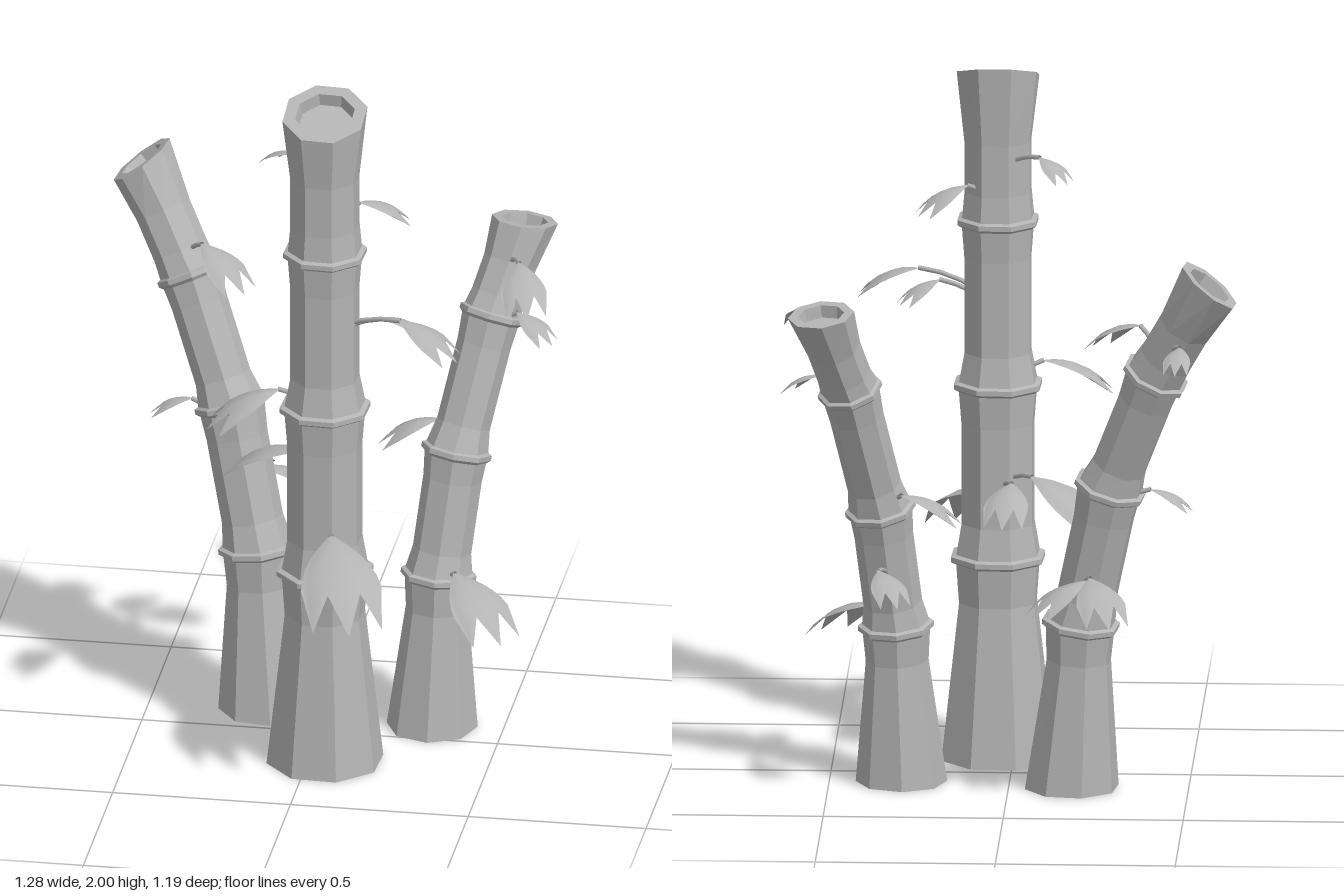
import * as THREE from 'three';

const UP = new THREE.Vector3(0, 1, 0);
const SIDES = 8;

const grey = new THREE.MeshStandardMaterial({ color: 0xb4b4b4, side: THREE.DoubleSide });
grey.name = 'plain grey';

// Faceted skin over a list of loops [centre, normal, radius]
function skin(loops, phase) {
  const rings = loops.map(([c, n, r]) => {
    const q = new THREE.Quaternion().setFromUnitVectors(UP, n);
    return Array.from({ length: SIDES }, (_, i) => {
      const t = phase + (i / SIDES) * Math.PI * 2;
      return new THREE.Vector3(r * Math.cos(t), 0, -r * Math.sin(t)).applyQuaternion(q).add(c);
    });
  });
  const pos = [];
  const tri = (...corners) => corners.forEach((c) => pos.push(c.x, c.y, c.z));
  for (let k = 0; k < rings.length - 1; k++) {
    for (let i = 0; i < SIDES; i++) {
      const j = (i + 1) % SIDES;
      if (loops[k][2] > 0) tri(rings[k][i], rings[k][j], rings[k + 1][j]);
      if (loops[k + 1][2] > 0) tri(rings[k][i], rings[k + 1][j], rings[k + 1][i]);
    }
  }
  const g = new THREE.BufferGeometry();
  g.setAttribute('position', new THREE.Float32BufferAttribute(pos, 3));
  g.computeVertexNormals();
  return g;
}

// Centre line of a cane at height y: it bends outwards more and more
function axisAt(cane, y) {
  const f = Math.pow(Math.max(0, y) / cane.height, 2.35);
  return new THREE.Vector3(cane.foot[0] + cane.lean[0] * f, y, cane.foot[1] + cane.lean[1] * f);
}

// Jointed cane: flared foot, raised joint rings, waisted sections, hollow cut top
const TAPER = [1, 0.8, 0.75, 0.69, 0.73];
function caneGeometry(cane) {
  const pts = [0, ...cane.joints, cane.height].map((y) => axisAt(cane, y));
  const radii = TAPER.map((t) => t * cane.radius);
  const last = pts.length - 1;
  const loops = [[pts[0], UP, 0], [pts[0], UP, radii[0]]];
  for (let i = 0; i < last; i++) {
    const axis = pts[i + 1].clone().sub(pts[i]).normalize();
    const waist = Math.min(radii[i], radii[i + 1]) * 0.86;
    const along = (t) => pts[i].clone().lerp(pts[i + 1], t);
    if (i > 0) loops.push([along(0.2), axis, waist]);
    loops.push([along(i === last - 1 ? 0.55 : 0.78), axis, waist]);
    if (i + 1 < last) {
      const n = pts[i + 2].clone().sub(pts[i]).normalize();
      for (const [h, s] of [[-0.016, 0.92], [-0.007, 1.04], [0.007, 1.04], [0.012, 0.92]])
        loops.push([pts[i + 1].clone().addScaledVector(n, h), n, radii[i + 1] * s]);
    }
  }
  const n = new THREE.Vector3(...cane.cut).normalize();
  const r = radii[last];
  const floor = pts[last].clone().addScaledVector(n, -0.035);
  loops.push([pts[last], n, r], [pts[last], n, r * 0.7], [floor, n, r * 0.64], [floor, n, 0]);
  return skin(loops, cane.phase);
}

// Drooping leaf that ends in three points
const COLUMNS = [-1, -0.85, -0.4, 0, 0.4, 0.85, 1];
const LENGTHS = [0.55, 0.92, 0.66, 1, 0.66, 0.92, 0.55];
function leafGeometry(base, tip, width) {
  const dir = tip.clone().sub(base);
  const side = new THREE.Vector3().crossVectors(dir, UP).normalize();
  const top = new THREE.Vector3().crossVectors(side, dir).normalize();
  const g = new THREE.PlaneGeometry(1, 1, 6, 5);
  const p = g.attributes.position;
  for (let i = 0; i < p.count; i++) {
    const col = i % 7;
    const u = (Math.floor(i / 7) / 5) * LENGTHS[col];
    const v = COLUMNS[col];
    const half = (width / 2) * Math.sin(Math.min(1, 0.05 + u * 1.6) * Math.PI / 2);
    const rise = dir.length() * 0.5 * u * (1 - u) - 0.3 * half * v * v;
    const q = base.clone().addScaledVector(dir, u).addScaledVector(side, v * half).addScaledVector(top, rise);
    p.setXYZ(i, q.x, q.y, q.z);
  }
  g.computeVertexNormals();
  return g;
}

// Thin arched twig
function twigGeometry(root, base) {
  const mid = root.clone().lerp(base, 0.5);
  mid.y += 0.15 * root.distanceTo(base);
  return new THREE.TubeGeometry(new THREE.QuadraticBezierCurve3(root, mid, base), 4, 0.007, 5, false);
}

// Step in the ground plane: degrees from +x towards +z
function step(degrees, distance, dy = 0) {
  const a = THREE.MathUtils.degToRad(degrees);
  return new THREE.Vector3(Math.cos(a) * distance, dy, Math.sin(a) * distance);
}

const CANES = [
  { name: 'middleCane', foot: [0.044, 0.178], lean: [0, 0], height: 1.96, radius: 0.165,
    joints: [0.575, 1.07, 1.54], cut: [0, 0.94, 0.335], phase: 0.35 },
  { name: 'leftCane', foot: [0.3, -0.1], lean: [0.21, -0.31], height: 1.415, radius: 0.127,
    joints: [0.45, 0.8, 1.17], cut: [0.1, 0.98, -0.17], phase: 0.05 },
  { name: 'rightCane', foot: [-0.175, -0.145], lean: [-0.395, -0.275], height: 1.515, radius: 0.133,
    joints: [0.475, 0.88, 1.225], cut: [-0.62, 0.78, -0.05], phase: 0.25 },
];

// Leaves of each cane: height, twig heading, twig reach, leaf heading, leaf length
const LEAVES = {
  middleCane: [
    [0.73, 72, 0.12, 72, 0.325],
    [1.13, 166, 0.13, 157, 0.205],
    [1.66, -46, 0.12, -28, 0.15],
    [1.38, 18, 0.235, 19, 0.18],
    [1.36, 8, 0.165, -29, 0.125],
    [0.85, 240, 0.205, 212, 0.245],
    [0.83, 256, 0.185, 276, 0.18],
    [1.76, 232, 0.2, 225, 0.115],
  ],
  leftCane: [
    [0.49, 56, 0.1, 50, 0.25],
    [0.86, 221, 0.095, 177, 0.17],
    [0.66, 276, 0.175, 247, 0.15],
    [1.38, 81, 0.205, 74, 0.185],
    [1.2, 38, 0.09, 32, 0.13],
  ],
  rightCane: [
    [1.35, 264, 0.125, 275, 0.11],
    [1.35, 47, 0.155, 41, 0.185],
    [0.88, 189, 0.115, 185, 0.12],
    [0.65, 268, 0.16, 252, 0.2],
    [0.64, 272, 0.15, -34, 0.18],
  ],
};

export function createModel() {
  const model = new THREE.Group();
  model.name = 'canePlant';
  for (const cane of CANES) {
    const group = new THREE.Group();
    group.name = cane.name;
    const add = (name, geometry) => {
      const mesh = new THREE.Mesh(geometry, grey);
      mesh.name = name;
      group.add(mesh);
    };
    add('stalk', caneGeometry(cane));
    for (const [y, twigHeading, reach, leafHeading, length] of LEAVES[cane.name]) {
      const root = axisAt(cane, y - 0.08);
      const base = axisAt(cane, y).add(step(twigHeading, reach));
      const tip = base.clone().add(step(leafHeading, length, -0.5 * length));
      add('twig', twigGeometry(root, base));
      add('leaf', leafGeometry(base, tip, 0.7 * length));
    }
    model.add(group);
  }
  return model;
}
